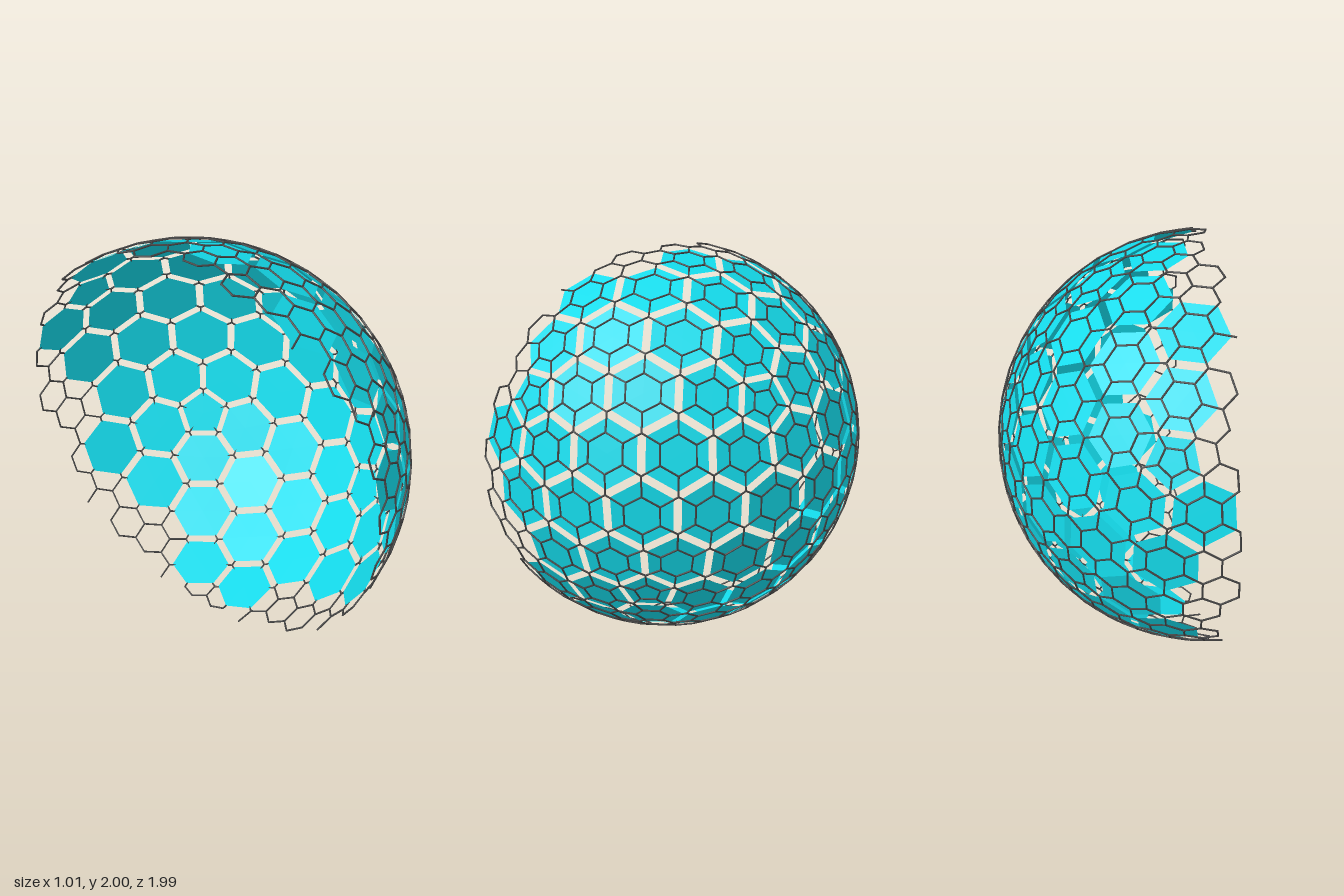
import * as THREE from 'three';
import { mergeGeometries } from 'three/addons/utils/BufferGeometryUtils.js';

const R = 0.995;          // radius of the wire lattice
const WIRE = 0.0045;      // wire thickness (radius)
const CUT = -0.015;       // the dome keeps everything with x above this
const key = (v) => [v.x, v.y, v.z].map((n) => Math.round(n * 1000)).join();

// Hexagon/pentagon cells of a sphere: the dual of a subdivided icosahedron
function sphereCells(frequency) {
  const geo = new THREE.IcosahedronGeometry(1, frequency - 1);
  geo.rotateZ(-Math.atan(2 / (1 + Math.sqrt(5)))); // one pentagon on top
  const pos = geo.attributes.position;
  const cells = new Map();
  for (let i = 0; i < pos.count; i += 3) {
    const tri = [0, 1, 2].map((k) => new THREE.Vector3().fromBufferAttribute(pos, i + k));
    const corner = tri[0].clone().add(tri[1]).add(tri[2]).normalize();
    for (const v of tri) {
      const k = key(v);
      if (!cells.has(k)) cells.set(k, { normal: v.clone().normalize(), corners: [] });
      cells.get(k).corners.push(corner);
    }
  }
  // put the corners of each cell in counter-clockwise order
  for (const { normal, corners } of cells.values()) {
    const u = corners[0].clone().projectOnPlane(normal).normalize();
    const w = normal.clone().cross(u);
    const angle = (c) => Math.atan2(c.dot(w), c.dot(u));
    corners.sort((a, b) => angle(a) - angle(b));
  }
  return [...cells.values()];
}

// One flat panel, slightly smaller than its cell
function panel({ corners }) {
  const centre = new THREE.Vector3();
  corners.forEach((c) => centre.addScaledVector(c, 1 / corners.length));
  const normal = centre.clone().normalize();
  const rim = corners.map((c) =>
    c.clone().sub(centre).projectOnPlane(normal).multiplyScalar(0.88).add(centre));
  const points = [];
  rim.forEach((p, i) => points.push(centre, p, rim[(i + 1) % rim.length]));
  const geo = new THREE.BufferGeometry().setFromPoints(points);
  geo.scale(R, R, R);
  geo.computeVertexNormals();
  return geo;
}

// A straight wire between two points
function wire(a, b) {
  const dir = b.clone().sub(a);
  const geo = new THREE.CylinderGeometry(WIRE, WIRE, dir.length() + WIRE, 6);
  geo.applyQuaternion(new THREE.Quaternion().setFromUnitVectors(
    new THREE.Vector3(0, 1, 0), dir.normalize()));
  const mid = a.clone().add(b).multiplyScalar(0.5);
  return geo.translate(mid.x, mid.y, mid.z);
}

export function createModel() {
  const model = new THREE.Group();
  model.name = 'honeycombDome';

  // Coloured panels: whole cells inside the half sphere
  const kept = sphereCells(4).filter((c) => c.corners.every((p) => p.x > CUT));
  const panels = new THREE.Mesh(
    mergeGeometries(kept.map(panel)),
    new THREE.MeshStandardMaterial({ color: 0x14dcec, flatShading: true, side: THREE.DoubleSide }));
  panels.name = 'panels';

  // Finer wire lattice over the panels, each shared edge built once
  const wires = new Map();
  for (const { corners } of sphereCells(8)) {
    corners.forEach((a, i) => {
      const b = corners[(i + 1) % corners.length];
      const id = [key(a), key(b)].sort().join('|');
      if (a.x < CUT || b.x < CUT || wires.has(id)) return;
      wires.set(id, wire(a.clone().multiplyScalar(R), b.clone().multiplyScalar(R)));
    });
  }
  const lattice = new THREE.Mesh(
    mergeGeometries([...wires.values()]),
    new THREE.MeshStandardMaterial({ color: 0x444444 }));
  lattice.name = 'wireLattice';

  model.add(panels, lattice);
  model.position.set(-0.495, 1, 0);
  const root = new THREE.Group();
  root.name = 'dome';
  root.add(model);
  return root;
}
